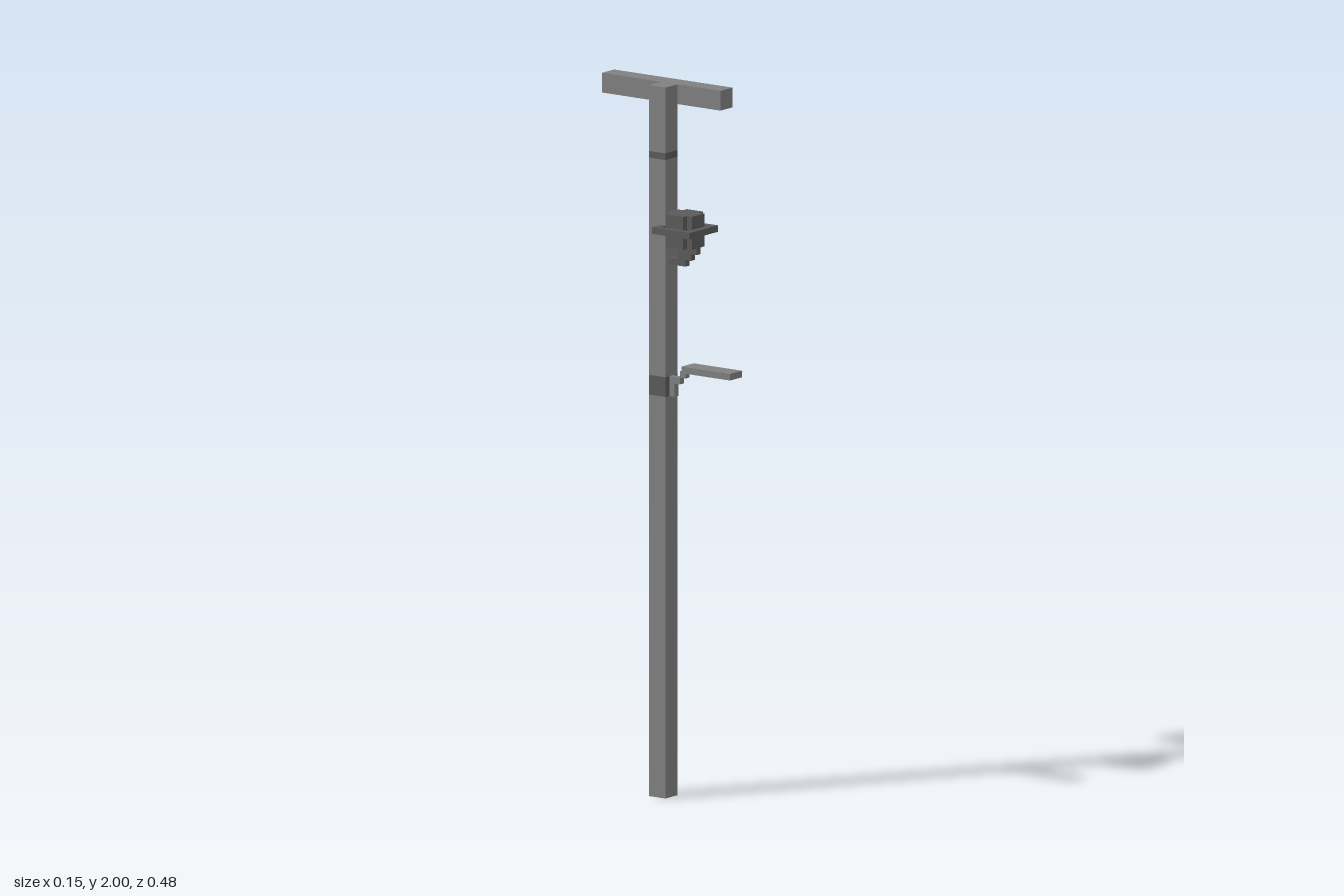
import * as THREE from 'three';

// The whole model sits on a grid of 108 units in height
const U = 1 / 54;

export function createModel() {
  const model = new THREE.Group();
  model.name = 'lampPost';

  const grey = new THREE.MeshStandardMaterial({ color: 0x808080 });
  grey.name = 'paleSteel';
  const dark = new THREE.MeshStandardMaterial({ color: 0x5a5a5a });
  dark.name = 'darkSteel';

  // Box from its low and high corners in grid units
  function box(parent, name, material, [x0, y0, z0], [x1, y1, z1]) {
    const geometry = new THREE.BoxGeometry((x1 - x0) * U, (y1 - y0) * U, (z1 - z0) * U);
    const mesh = new THREE.Mesh(geometry, material);
    mesh.position.set((x0 + x1) / 2 * U, (y0 + y1) / 2 * U, (z0 + z1) / 2 * U);
    mesh.name = name;
    parent.add(mesh);
    return mesh;
  }

  function group(name) {
    const g = new THREE.Group();
    g.name = name;
    model.add(g);
    return g;
  }

  // Square pole in sections, with two dark bands
  const pole = group('pole');
  const levels = [0, 61, 64, 97, 98, 108];
  for (let i = 0; i < levels.length - 1; i++) {
    const band = i % 2 === 1;
    box(pole, band ? 'poleBand' : 'poleSection', band ? dark : grey,
      [-2, levels[i], -2], [1, levels[i + 1], 1]);
  }

  // Crossbar fixed to the side of the pole top
  box(model, 'crossbar', grey, [1, 105, -13], [4, 108, 9]);

  // Lamp: plus-shaped body with a square rim around it
  const lamp = group('lamp');
  const plus = new THREE.Shape([
    [-3, 2], [-2, 2], [-2, 1], [1, 1], [1, 2], [2, 2],
    [2, 5], [1, 5], [1, 6], [-2, 6], [-2, 5], [-3, 5],
  ].map(([x, z]) => new THREE.Vector2(x * U, -z * U)));
  const bodyGeometry = new THREE.ExtrudeGeometry(plus, { depth: 5 * U, bevelEnabled: false });
  bodyGeometry.rotateX(-Math.PI / 2);
  const body = new THREE.Mesh(bodyGeometry, dark);
  body.name = 'lampBody';
  body.position.y = 84 * U;
  lamp.add(body);

  box(lamp, 'rimBack', dark, [-4, 86, 0], [3, 87, 1]);
  box(lamp, 'rimFront', dark, [-4, 86, 6], [3, 87, 7]);
  box(lamp, 'rimRight', dark, [-4, 86, 1], [-3, 87, 6]);
  box(lamp, 'rimLeft', dark, [2, 86, 1], [3, 87, 6]);

  // Stepped bracket under the lamp: bottom, top, back, front of each step
  const lampSteps = [[81, 82, 1, 4], [82, 83, 2.5, 5], [83, 84, 2.5, 6]];
  for (const [y0, y1, z0, z1] of lampSteps) {
    box(lamp, 'lampBracketStep', dark, [-1, y0, z0], [0, y1, z1]);
  }

  // Flat arm on its own stepped bracket
  const arm = group('arm');
  const armSteps = [[61, 63, 1, 2], [63, 64, 1, 3], [64, 65, 3, 4]];
  for (const [y0, y1, z0, z1] of armSteps) {
    box(arm, 'armBracketStep', grey, [-1, y0, z0], [0, y1, z1]);
  }
  box(arm, 'armPlate', grey, [-2, 65, 4], [1, 66, 13]);

  return model;
}
